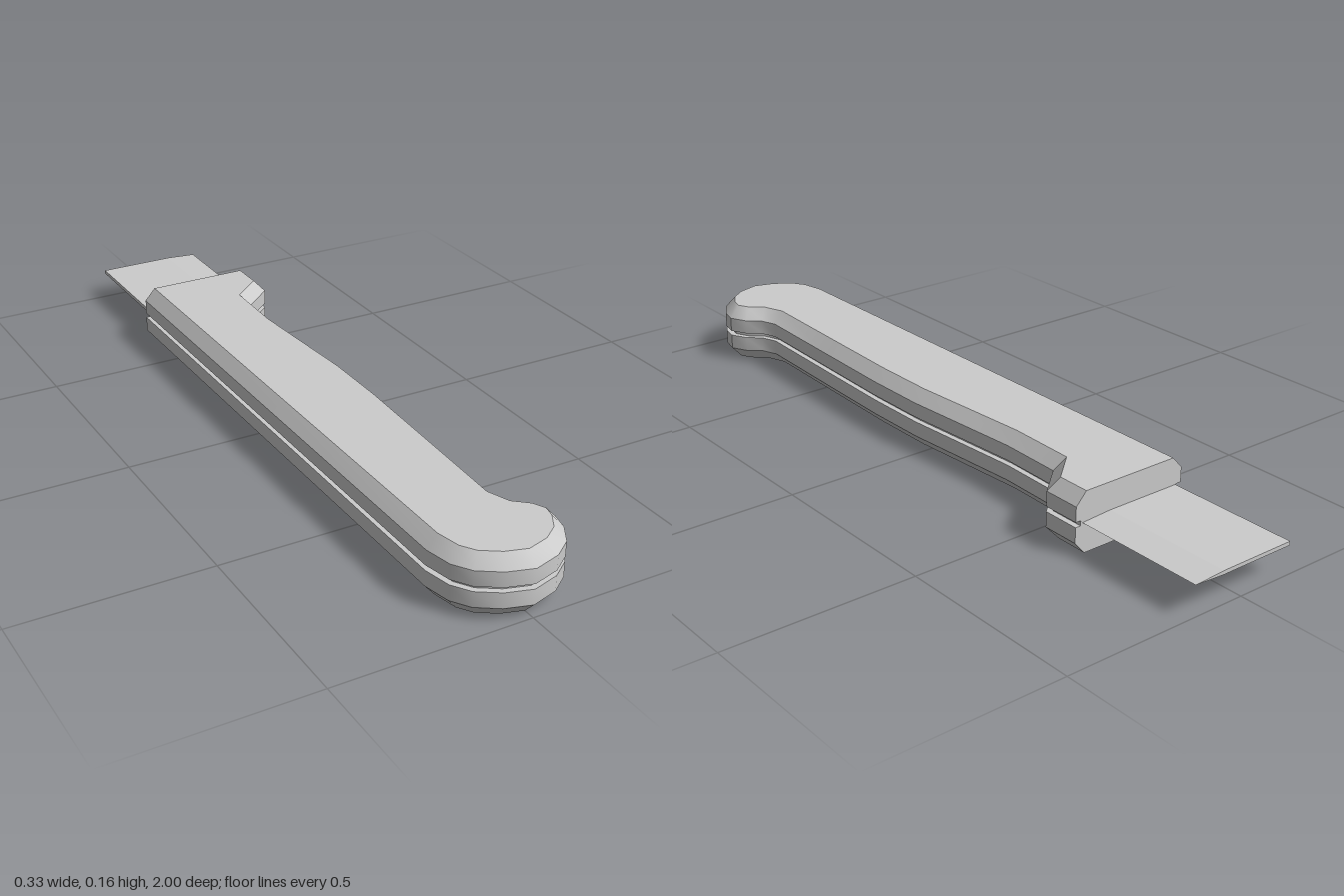
import * as THREE from 'three';
import { toCreasedNormals } from 'three/addons/utils/BufferGeometryUtils.js';

// Handle outline seen from above as [x, z], from the blade end round the butt and back
const OUTLINE = [
  [0.165, -0.65], [0.165, -0.55], [0.084, -0.48], [0.08, -0.31], [0.092, -0.13],
  [0.103, 0.03], [0.103, 0.21], [0.094, 0.45], [0.083, 0.73], [0.1, 0.775],
  [0.135, 0.805], [0.158, 0.85], [0.148, 0.895], [0.118, 0.945], [0.07, 0.98],
  [0, 1], [-0.066, 0.98], [-0.12, 0.945], [-0.15, 0.9], [-0.165, 0.83], [-0.165, -0.65],
];

// Handle section as [y, inset]: chamfer, lower shell, groove, upper shell, chamfer
const SECTION = [
  [0, 0.029], [0.033, 0], [0.073, 0], [0.073, 0.015],
  [0.086, 0.015], [0.086, 0], [0.125, 0], [0.157, 0.029],
];

// Move the outline inward; the open ends only slide along x
function insetOutline(points, amount) {
  const normal = (a, b) => new THREE.Vector2(b[1] - a[1], a[0] - b[0]).normalize();
  return points.map((p, i) => {
    const before = normal(points[Math.max(i - 1, 0)], points[Math.max(i, 1)]);
    const last = points.length - 1;
    const after = normal(points[Math.min(i, last - 1)], points[Math.min(i + 1, last)]);
    const miter = before.clone().add(after).normalize();
    const d = amount / Math.max(miter.dot(after), 0.5);
    return new THREE.Vector2(p[0] - miter.x * d, p[1] - miter.y * d);
  });
}

function createHandleGeometry() {
  const rings = SECTION.map(([y, inset]) =>
    insetOutline(OUTLINE, inset).map((p) => new THREE.Vector3(p.x, y, p.y)));
  const positions = [];
  const face = (...corners) => corners.forEach((v) => positions.push(v.x, v.y, v.z));

  // Side walls and flat blade end
  const n = OUTLINE.length;
  for (let r = 0; r < rings.length - 1; r++) {
    const level = SECTION[r][0] === SECTION[r + 1][0];
    for (let i = 0; i < n; i++) {
      if (level && i === n - 1) continue;
      const j = (i + 1) % n;
      const a = rings[r][i], b = rings[r][j], c = rings[r + 1][j], d = rings[r + 1][i];
      face(a, c, b);
      face(a, d, c);
    }
  }

  // Flat bottom and top
  [[rings[0], -1], [rings[rings.length - 1], 1]].forEach(([ring, up]) => {
    const contour = ring.map((v) => new THREE.Vector2(v.x, v.z));
    THREE.ShapeUtils.triangulateShape(contour, []).forEach(([i, j, k]) => {
      const [a, b, c] = [ring[i], ring[j], ring[k]];
      const y = (b.z - a.z) * (c.x - a.x) - (b.x - a.x) * (c.z - a.z);
      if (y * up > 0) face(a, b, c);
      else face(a, c, b);
    });
  });

  const geometry = new THREE.BufferGeometry();
  geometry.setAttribute('position', new THREE.Float32BufferAttribute(positions, 3));
  return toCreasedNormals(geometry, 0.6);
}

// Flat strip whose cross-section tapers to a cutting edge on +x
function createBladeGeometry() {
  const section = new THREE.Shape([
    [-0.148, -0.005], [0.06, -0.005], [0.145, 0], [0.06, 0.005], [-0.148, 0.005],
  ].map(([x, y]) => new THREE.Vector2(x, y)));
  const geometry = new THREE.ExtrudeGeometry(section, { depth: 0.4, bevelEnabled: false });
  return geometry.translate(0, 0.0795, -1);
}

export function createModel() {
  const model = new THREE.Group();
  model.name = 'utilityKnife';
  const material = new THREE.MeshStandardMaterial({ color: 0xcccccc });

  const handle = new THREE.Mesh(createHandleGeometry(), material);
  handle.name = 'handle';

  const blade = new THREE.Mesh(createBladeGeometry(), material);
  blade.name = 'blade';

  model.add(handle, blade);
  return model;
}
